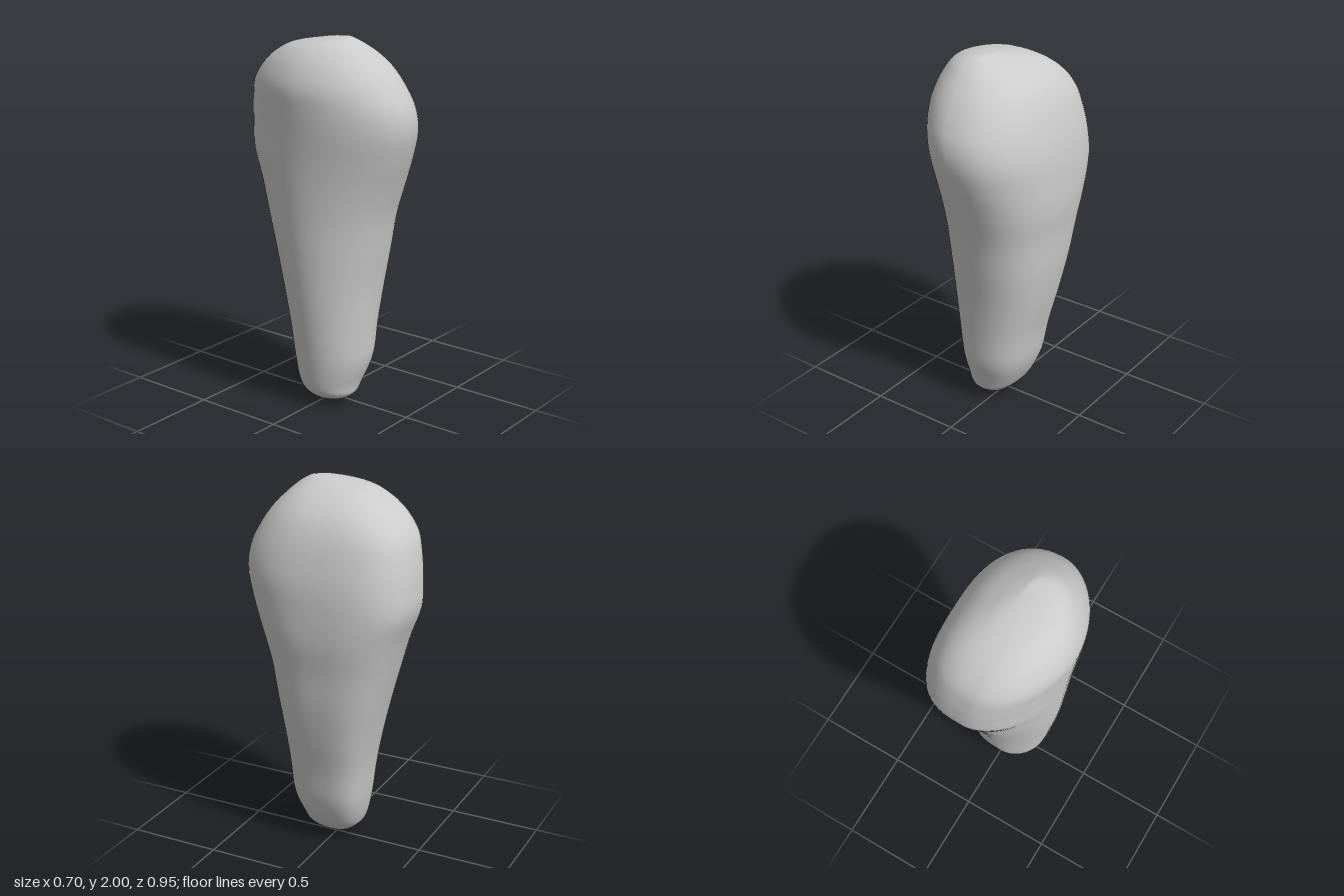
import * as THREE from 'three';

// Height, then the extents of the cross-section: xMin, xMax, zMin, zMax
const sections = [
  [0.0, -0.05, -0.03, -0.01, 0.03],
  [0.02, -0.11, 0.03, -0.06, 0.11],
  [0.06, -0.17, 0.08, -0.12, 0.17],
  [0.12, -0.20, 0.13, -0.16, 0.19],
  [0.26, -0.225, 0.19, -0.195, 0.235],
  [0.45, -0.25, 0.225, -0.22, 0.25],
  [0.65, -0.275, 0.27, -0.26, 0.27],
  [0.85, -0.295, 0.305, -0.31, 0.30],
  [1.05, -0.31, 0.325, -0.365, 0.335],
  [1.22, -0.32, 0.345, -0.415, 0.385],
  [1.38, -0.33, 0.345, -0.47, 0.44],
  [1.52, -0.34, 0.335, -0.47, 0.475],
  [1.64, -0.35, 0.31, -0.455, 0.468],
  [1.75, -0.355, 0.275, -0.425, 0.42],
  [1.84, -0.33, 0.225, -0.36, 0.36],
  [1.91, -0.29, 0.155, -0.27, 0.295],
  [1.96, -0.235, 0.07, -0.16, 0.24],
  [1.99, -0.15, 0.0, 0.0, 0.19],
  [2.0, -0.07, -0.03, 0.11, 0.15],
];

// Squareness of each quadrant, going round from +x towards +z
const squareness = [0.86, 1.05, 1.08, 0.68];
const AROUND = 64;
const RINGS = 90;

const spline = (ix, iz) => new THREE.CatmullRomCurve3(
  sections.map((s) => new THREE.Vector3(s[ix], s[0], s[iz])), false, 'catmullrom', 0.5);

function createBodyGeometry() {
  const low = spline(1, 3);
  const high = spline(2, 4);
  const positions = [];
  const index = [];
  const power = (v, e) => Math.sign(v) * Math.abs(v) ** e;

  // Rounded, lopsided rings stacked from the tip to the crown
  for (let i = 0; i <= RINGS; i++) {
    const a = low.getPoint(i / RINGS);
    const b = high.getPoint(i / RINGS);
    for (let j = 0; j < AROUND; j++) {
      const t = (j / AROUND) * Math.PI * 2;
      const e = squareness[Math.floor((j / AROUND) * 4)];
      positions.push(
        (a.x + b.x) / 2 + ((b.x - a.x) / 2) * power(Math.cos(t), e),
        a.y,
        (a.z + b.z) / 2 + ((b.z - a.z) / 2) * power(Math.sin(t), e),
      );
    }
  }
  for (let i = 0; i < RINGS; i++) {
    for (let j = 0; j < AROUND; j++) {
      const k = (j + 1) % AROUND;
      const p = i * AROUND + j;
      const q = i * AROUND + k;
      index.push(p, p + AROUND, q, q, p + AROUND, q + AROUND);
    }
  }

  // Close the tip and the crown
  const tip = positions.length / 3;
  positions.push(-0.04, 0, 0.01, -0.05, 2, 0.13);
  const top = RINGS * AROUND;
  for (let j = 0; j < AROUND; j++) {
    const k = (j + 1) % AROUND;
    index.push(tip, j, k, tip + 1, top + k, top + j);
  }

  const geometry = new THREE.BufferGeometry();
  geometry.setAttribute('position', new THREE.Float32BufferAttribute(positions, 3));
  geometry.setIndex(index);
  geometry.computeVertexNormals();
  return geometry;
}

export function createModel() {
  const group = new THREE.Group();
  const body = new THREE.Mesh(
    createBodyGeometry(),
    new THREE.MeshStandardMaterial({ color: 0xcccccc }),
  );
  body.name = 'taperedBody';
  group.add(body);
  return group;
}
